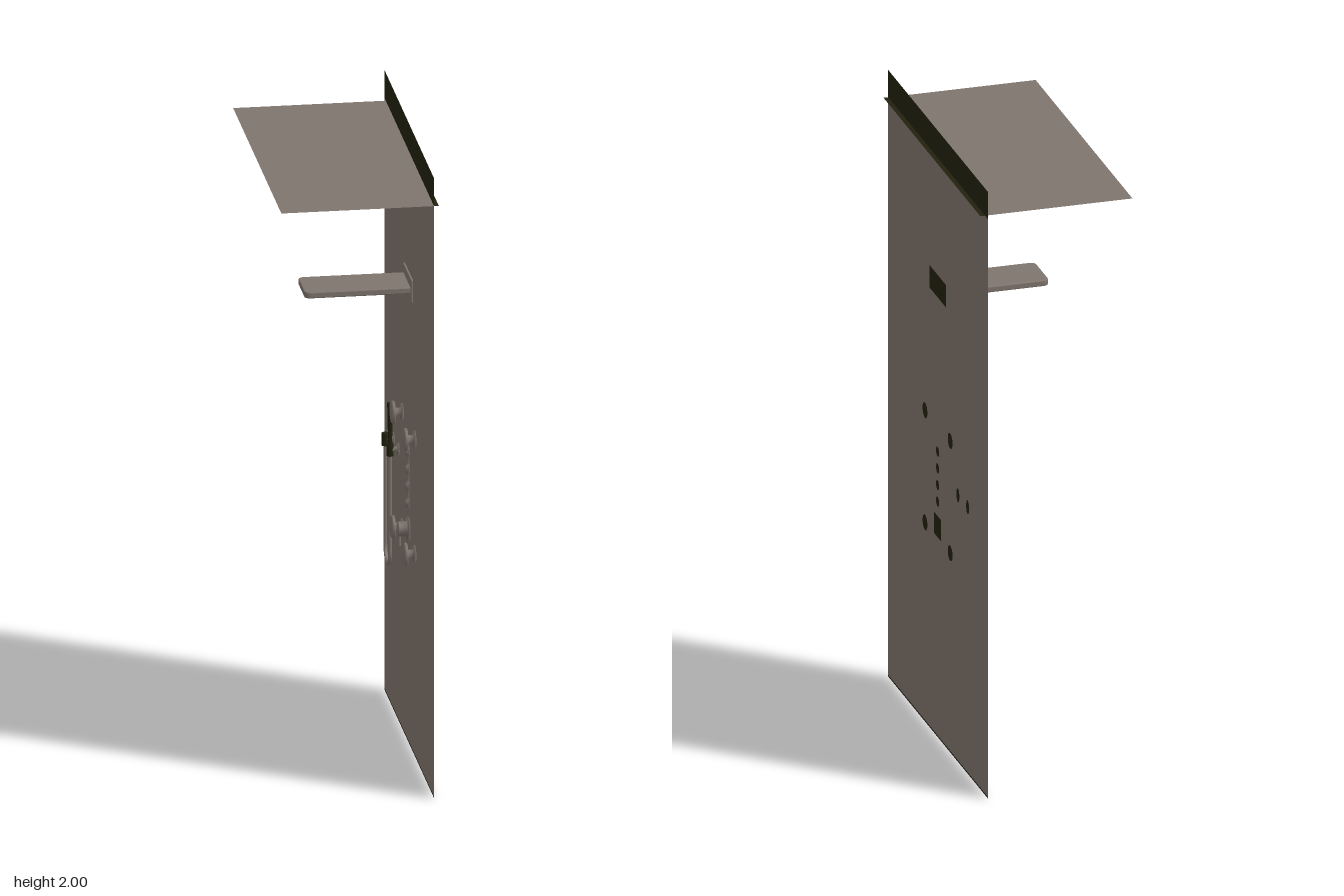
import * as THREE from 'three';
import { RoundedBoxGeometry } from 'three/addons/geometries/RoundedBoxGeometry.js';

const WALL = 0.228; // x of the wall sheet
const ROOF = 1.91; // height of the ceiling sheet

export function createModel() {
  const model = new THREE.Group();
  const taupe = new THREE.MeshStandardMaterial({ color: 0x80756e, side: THREE.DoubleSide });
  taupe.name = 'taupe';
  const dark = new THREE.MeshStandardMaterial({ color: 0x232210, side: THREE.DoubleSide });
  dark.name = 'dark olive';

  const add = (name, geo, mat, x = 0, y = 0, z = 0, parent = model) => {
    const m = new THREE.Mesh(geo, mat);
    m.name = name;
    m.position.set(x, y, z);
    parent.add(m);
    return m;
  };
  // upright sheet facing +x
  const upright = (w, h) => new THREE.PlaneGeometry(w, h).rotateY(Math.PI / 2);
  // flat sheet facing up
  const flat = (w, d) => new THREE.PlaneGeometry(w, d).rotateX(-Math.PI / 2);
  // round part turned about x; points are [radius, distance out from the wall]
  const turned = (pts, seg = 24) =>
    new THREE.LatheGeometry(pts.map(([r, d]) => new THREE.Vector2(r, d)), seg).rotateZ(Math.PI / 2);
  // dark mounting mark on the outer side of the wall
  const mark = (y, z, ry, rz = ry) =>
    add('mountingMark', new THREE.CircleGeometry(1, 20).scale(rz, ry, 1).rotateY(Math.PI / 2), dark, WALL + 0.001, y, z);

  // Wall and ceiling sheets, each with a dark band past their crossing
  add('wall', upright(1.034, ROOF - 0.005), taupe, WALL, ROOF / 2 + 0.0025, 0);
  add('wallTopBand', upright(1.034, 2 - ROOF), dark, WALL, (2 + ROOF) / 2, 0);
  add('wallBottomEdge', upright(1.034, 0.005), dark, WALL, 0.0025, 0);
  add('ceiling', flat(WALL + 0.243, 1), taupe, (WALL - 0.243) / 2, ROOF, 0.013);
  add('ceilingEdgeBand', flat(0.243 - WALL, 1), dark, (WALL + 0.243) / 2, ROOF, 0.013);

  // Overhead shower: wall plate, flat arm and nozzle plate
  const head = new THREE.Group();
  head.name = 'overheadShower';
  model.add(head);
  add('headPlate', new RoundedBoxGeometry(0.007, 0.076, 0.17, 2, 0.003), taupe, WALL - 0.004, 1.488, 0, head);
  const slab = new THREE.Shape();
  const [x0, x1, w, r] = [-0.105, 0.224, 0.075, 0.02];
  slab.moveTo(x1, -w);
  slab.lineTo(x1, w);
  slab.lineTo(x0 + r, w);
  slab.quadraticCurveTo(x0, w, x0, w - r);
  slab.lineTo(x0, -w + r);
  slab.quadraticCurveTo(x0, -w, x0 + r, -w);
  const slabGeo = new THREE.ExtrudeGeometry(slab, {
    depth: 0.014, bevelEnabled: true, bevelSize: 0.003, bevelOffset: -0.003, bevelThickness: 0.003, bevelSegments: 2,
  }).rotateX(-Math.PI / 2);
  add('headArm', slabGeo, taupe, 0, 1.481, 0, head);
  add('nozzlePlate', new RoundedBoxGeometry(0.17, 0.008, 0.12, 2, 0.003), taupe, 0, 1.477, 0, head);
  add('headMark', upright(0.17, 0.074), dark, WALL + 0.001, 1.488, 0);

  // Four body jets
  const jetGeo = turned([[0, 0], [0.026, 0], [0.026, 0.006], [0.013, 0.007], [0.013, 0.022],
    [0.034, 0.025], [0.036, 0.03], [0.033, 0.036], [0.024, 0.034], [0.02, 0.038], [0, 0.038]]);
  for (const y of [1.028, 0.658]) {
    for (const z of [0.13, -0.13]) {
      add('bodyJet', jetGeo, taupe, WALL - 0.001, y, z);
      mark(y, z, 0.025);
    }
  }

  // Column of selector buttons
  const buttonGeo = turned([[0, 0], [0.017, 0], [0.017, 0.004], [0.012, 0.005], [0.012, 0.012], [0, 0.013]], 16);
  for (let i = 0; i < 4; i++) {
    const y = 0.942 - i * 0.055;
    add('selectorButton', buttonGeo, taupe, WALL - 0.001, y, 0);
    mark(y, 0, 0.016);
  }
  add('buttonRail', new THREE.BoxGeometry(0.003, 0.2, 0.008), taupe, WALL - 0.002, 0.86, 0);

  // Mixer knob with its lever
  add('mixerKnob', turned([[0, 0], [0.037, 0], [0.037, 0.006], [0.023, 0.007], [0.023, 0.032], [0.02, 0.035], [0, 0.035]]),
    taupe, WALL - 0.001, 0.695, 0);
  add('mixerLever', new RoundedBoxGeometry(0.008, 0.05, 0.01, 2, 0.003), taupe, 0.198, 0.664, 0);
  add('mixerMark', upright(0.074, 0.07), dark, WALL + 0.001, 0.695, 0);

  // Hand shower: two holders, a wand and a hanging hose loop
  const holderGeo = turned([[0, 0], [0.02, 0], [0.02, 0.005], [0.009, 0.006], [0.009, 0.03], [0, 0.03]], 16);
  for (const z of [-0.21, -0.31]) {
    add('hoseFlange', holderGeo, taupe, WALL - 0.001, 0.88, z);
    add('hoseHolder', new THREE.CylinderGeometry(0.011, 0.011, 0.04, 16), dark, 0.2, 0.88, z);
    mark(0.88, z, 0.023, 0.015);
  }
  add('handWand', new THREE.CylinderGeometry(0.009, 0.006, 0.14, 16), dark, 0.2, 0.96, -0.21);

  const path = new THREE.CurvePath();
  const v = (y, z) => new THREE.Vector3(0.2, y, z);
  path.add(new THREE.LineCurve3(v(0.88, -0.31), v(0.55, -0.31)));
  path.add(new THREE.CubicBezierCurve3(v(0.55, -0.31), v(0.483, -0.31), v(0.483, -0.21), v(0.55, -0.21)));
  path.add(new THREE.LineCurve3(v(0.55, -0.21), v(0.88, -0.21)));
  add('hose', new THREE.TubeGeometry(path, 80, 0.006, 8), taupe);

  return model;
}
